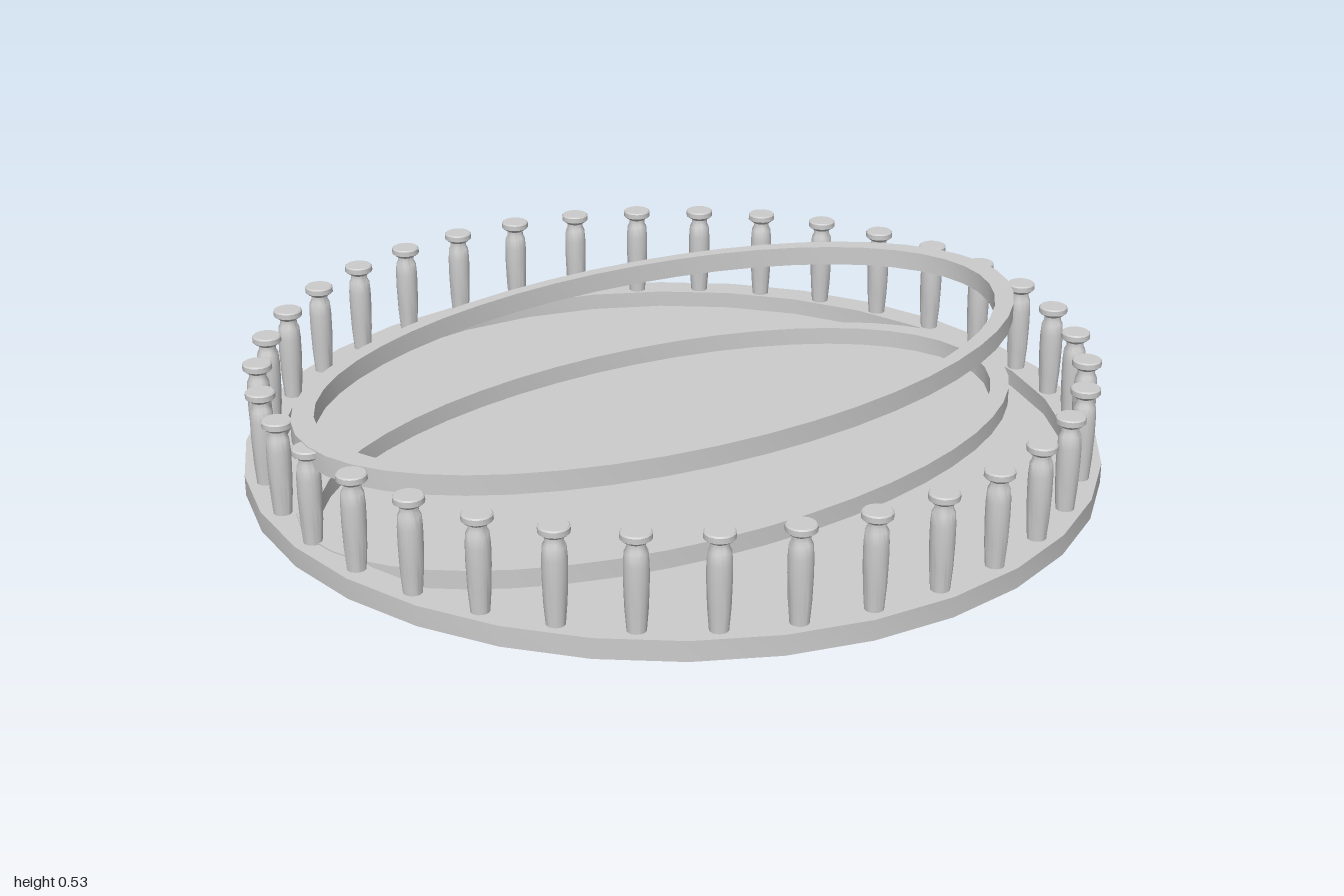
import * as THREE from 'three';
import { toCreasedNormals } from 'three/addons/utils/BufferGeometryUtils.js';

const material = new THREE.MeshStandardMaterial({ color: 0xcccccc });

// Turned solid from [radius, height] pairs, listed from bottom to top
function turned(pairs, sides) {
  const points = pairs.map(([r, y]) => new THREE.Vector2(r, y));
  return toCreasedNormals(new THREE.LatheGeometry(points, sides), 0.75);
}

// Flat band with a rectangular section, closing on its own start
function band(inner, outer, bottom, top, sides) {
  return turned([[inner, bottom], [outer, bottom], [outer, top], [inner, top], [inner, bottom]], sides);
}

export function createModel() {
  const model = new THREE.Group();
  const add = (name, geometry, parent = model) => {
    const mesh = new THREE.Mesh(geometry, material);
    mesh.name = name;
    parent.add(mesh);
    return mesh;
  };

  // Pedestal flaring into the thin floor plate
  add('pedestalAndFloor', turned([
    [0, 0], [0.13, 0], [0.13, 0.225], [0.136, 0.239], [0.15, 0.25], [0.18, 0.258],
    [0.3, 0.261], [0.965, 0.262], [0.965, 0.267], [0, 0.267],
  ], 32));

  // Outer rim carrying the posts
  add('rim', band(0.93, 1, 0.26, 0.308, 32));

  // Two matching oval rails, one on the floor and one at post height
  for (const [name, bottom, top] of [['lowerOvalRail', 0.264, 0.311], ['upperOvalRail', 0.487, 0.534]]) {
    const rail = band(0.9, 0.955, bottom, top, 48);
    rail.scale(1, 1, 0.55);
    add(name, rail);
  }

  // Ring of turned posts with flat caps
  const posts = new THREE.Group();
  posts.name = 'posts';
  model.add(posts);
  const postGeometry = turned([
    [0, 0.265], [0.021, 0.265], [0.021, 0.31], [0.025, 0.36], [0.027, 0.42], [0.027, 0.46],
    [0.025, 0.487], [0.02, 0.497], [0.02, 0.507], [0.029, 0.513], [0.034, 0.517],
    [0.034, 0.529], [0.031, 0.532], [0, 0.532],
  ], 16);
  const count = 36;
  for (let i = 0; i < count; i++) {
    const angle = (i / count) * Math.PI * 2;
    const post = add('post', postGeometry, posts);
    post.position.set(Math.cos(angle) * 0.955, 0, Math.sin(angle) * 0.955);
    post.rotation.y = -angle;
  }

  return model;
}
